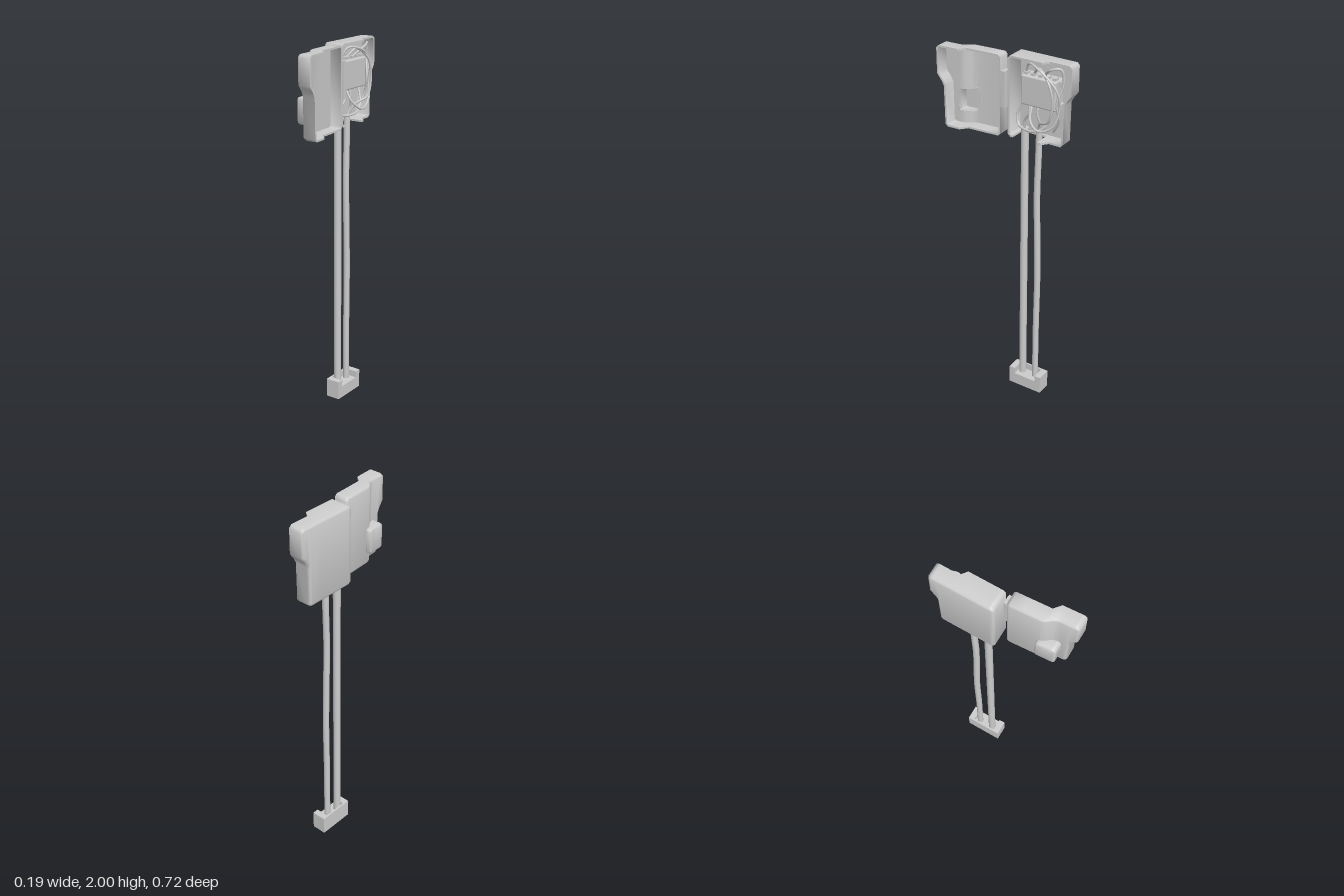
import * as THREE from 'three';
import { toCreasedNormals } from 'three/addons/utils/BufferGeometryUtils.js';
import { RoundedBoxGeometry } from 'three/addons/geometries/RoundedBoxGeometry.js';

const material = new THREE.MeshStandardMaterial({ color: 0xcccccc, side: THREE.DoubleSide });

// piecewise linear function through [z, x] stops sorted by z
const ramp = (stops) => (z) => {
  if (z <= stops[0][0]) return stops[0][1];
  for (let i = 1; i < stops.length; i++) {
    const [z0, x0] = stops[i - 1], [z1, x1] = stops[i];
    if (z <= z1) return x0 + (x1 - x0) * (z - z0) / (z1 - z0);
  }
  return stops[stops.length - 1][1];
};

// move a closed [z, y] outline inwards
function inset(outline, d, s) {
  const n = outline.length;
  const normal = (a, b) => {
    const dz = b[0] - a[0], dy = b[1] - a[1], l = Math.hypot(dz, dy);
    return [s * dy / l, -s * dz / l];
  };
  return outline.map((p, i) => {
    const a = normal(outline[(i + n - 1) % n], p), b = normal(p, outline[(i + 1) % n]);
    const k = d / (1 + a[0] * b[0] + a[1] * b[1]);
    return [p[0] + (a[0] + b[0]) * k, p[1] + (a[1] + b[1]) * k];
  });
}

// hollow tray open to +x, made of columns [z, top y, bottom y]
function tray(cols, back, rim, { t = 0.01, bevel = 0.014, hole = null, slot = null } = {}) {
  const m = cols.length, n = 2 * m, s = Math.sign(cols[1][0] - cols[0][0]);
  const outline = [...cols.map((c) => [c[0], c[1]]), ...[...cols].reverse().map((c) => [c[0], c[2]])];
  const ring = (d, x) => inset(outline, d, s).map(([z, y], i) => [x(outline[i][0], i), y, z]);
  const edge = (z, i) => (slot && i >= m && z < slot.z1 && z > slot.z0 ? slot.x : rim(z));
  const rings = [
    ring(bevel, back),
    ring(bevel * 0.3, (z) => back(z) + bevel * 0.3),
    ring(0, (z) => back(z) + bevel),
    ring(0, edge),
    ring(t, edge),
    ring(t, (z) => back(z) + t),
  ];
  const pos = [];
  const quad = (a, b, c, d, flip) => {
    const q = flip ? [d, c, b, a] : [a, b, c, d];
    for (const i of [0, 1, 2, 0, 2, 3]) pos.push(...q[i]);
  };
  for (let k = 0; k < rings.length - 1; k++)
    for (let i = 0; i < n; i++) {
      const j = (i + 1) % n;
      quad(rings[k][i], rings[k][j], rings[k + 1][j], rings[k + 1][i], s < 0);
    }
  // outer back and inner floor, as strips with an optional window
  for (const [r, flip] of [[rings[0], s < 0], [rings[5], s > 0]])
    for (let c = 0; c < m - 1; c++) {
      const a = r[c], b = r[c + 1], e = r[n - 2 - c], f = r[n - 1 - c];
      const at = (p, y) => [p[0], y, p[2]];
      if (hole && cols[c][0] >= hole.z0 - 1e-6 && cols[c + 1][0] <= hole.z1 + 1e-6) {
        quad(at(a, hole.y1), at(b, hole.y1), b, a, flip);
        quad(f, e, at(b, hole.y0), at(a, hole.y0), flip);
      } else quad(f, e, b, a, flip);
    }
  const g = new THREE.BufferGeometry();
  g.setAttribute('position', new THREE.Float32BufferAttribute(pos, 3));
  return toCreasedNormals(g, 0.8);
}

export function createModel() {
  const group = new THREE.Group();
  const add = (name, geometry, x = 0, y = 0, z = 0) => {
    const mesh = new THREE.Mesh(geometry, material);
    mesh.name = name;
    mesh.position.set(x, y, z);
    group.add(mesh);
    return mesh;
  };
  const TOP = 2, BOT = 1.568;
  // shared silhouette: straight hinge side, free side widening towards the top
  const silhouette = (sign, near, middle) => [
    [near, TOP - 0.014, BOT + 0.014], [near + 0.014, TOP, BOT],
    ...middle.map((z) => [z, TOP, BOT]),
    [0.303, TOP, BOT], [0.317, TOP, BOT + 0.014], [0.32, TOP, 1.79],
    [0.333, TOP, 1.815], [0.344, TOP, 1.83], [0.358, TOP - 0.014, 1.85],
  ].map(([z, a, b]) => [sign * z, a, b]);

  // cabinet body with a cut-out in its lower wall for the pipes
  add('cabinetBody', tray(
    silhouette(-1, 0.015, [0.045, 0.047, 0.188, 0.19, 0.21, 0.235]),
    () => -0.097,
    ramp([[-0.235, -0.015], [-0.21, 0.018]]),
    { slot: { z0: -0.189, z1: -0.046, x: -0.073 } }));

  // opened door with stepped face and lock recess
  const doorBack = ramp([[0.015, -0.037], [0.19, -0.026], [0.207, -0.02], [0.222, -0.008],
    [0.24, 0.005], [0.255, 0.011], [0.27, 0.0125], [0.355, 0.017]]);
  const doorRim = ramp([[0.015, 0.04], [0.205, 0.052], [0.235, 0.088], [0.355, 0.096]]);
  add('door', tray(
    silhouette(1, 0.015, [0.1, 0.19, 0.205, 0.207, 0.222, 0.235, 0.24, 0.255, 0.27]),
    doorBack, doorRim, { hole: { z0: 0.19, z1: 0.27, y0: 1.645, y1: 1.762 } }));
  add('lockHousing', tray(
    [[0.176, 1.763, 1.645], [0.186, 1.773, 1.635], [0.207, 1.773, 1.635], [0.222, 1.773, 1.635],
      [0.24, 1.773, 1.635], [0.255, 1.773, 1.635], [0.272, 1.773, 1.635], [0.282, 1.763, 1.645]],
    (z) => -0.052 + 0.06 * (z - 0.176),
    (z) => doorBack(z) + 0.012, { t: 0.008, bevel: 0.01 }));

  // hinge
  add('hingePlate', new THREE.BoxGeometry(0.03, 0.19, 0.022), 0.01, 1.825, -0.003);
  add('hingePin', new THREE.CylinderGeometry(0.013, 0.013, 0.19, 16), 0.028, 1.825, -0.002);
  add('hingeLeaf', new THREE.BoxGeometry(0.008, 0.19, 0.024), 0.04, 1.825, -0.001);

  // control unit inside the cabinet, with mounting tabs
  add('controlUnit', new RoundedBoxGeometry(0.08, 0.155, 0.2, 2, 0.008), -0.05, 1.825, -0.172);
  for (let i = 0; i < 5; i++)
    add('terminal', new THREE.BoxGeometry(0.03, 0.016, 0.02), -0.04, 1.908, -0.09 - i * 0.041);
  for (const y of [1.765, 1.88])
    for (const z of [-0.068, -0.276])
      add('mountingTab', new THREE.BoxGeometry(0.03, 0.03, 0.02), -0.06, y, z);

  // loose wires, as [x, y, z] paths
  const wires = [
    [[-0.04, 1.91, -0.087], [-0.02, 1.965, -0.115], [0.012, 1.95, -0.2], [0.005, 1.87, -0.285],
      [-0.01, 1.775, -0.298], [0.008, 1.67, -0.265], [0.02, 1.64, -0.19], [0, 1.68, -0.135], [-0.04, 1.75, -0.125]],
    [[-0.04, 1.91, -0.19], [0, 1.965, -0.25], [-0.02, 1.97, -0.295], [-0.03, 1.9, -0.305],
      [-0.01, 1.79, -0.28], [-0.03, 1.7, -0.285], [-0.05, 1.62, -0.24]],
    [[-0.04, 1.75, -0.07], [-0.03, 1.67, -0.04], [-0.02, 1.625, -0.06], [0.005, 1.622, -0.15],
      [-0.01, 1.66, -0.22], [-0.04, 1.75, -0.245]],
    [[-0.04, 1.91, -0.13], [-0.01, 1.955, -0.18], [0.018, 1.9, -0.25], [0.02, 1.8, -0.275],
      [0.015, 1.7, -0.25], [-0.02, 1.66, -0.18], [-0.05, 1.59, -0.157]],
    [[-0.05, 1.59, -0.075], [-0.04, 1.65, -0.08], [-0.03, 1.7, -0.11], [-0.04, 1.76, -0.11]],
    [[-0.05, 1.59, -0.15], [-0.04, 1.65, -0.17], [-0.03, 1.7, -0.16], [-0.04, 1.76, -0.16]],
  ];
  for (const path of wires) {
    const curve = new THREE.CatmullRomCurve3(path.map((p) => new THREE.Vector3(...p)));
    add('wire', new THREE.TubeGeometry(curve, 48, 0.006, 8));
  }

  // straight post and slightly wavy conduit
  add('post', new THREE.CylinderGeometry(0.02, 0.02, 1.54, 24), -0.052, 0.835, -0.074);
  const conduit = new THREE.CatmullRomCurve3([
    [0.065, -0.157], [0.4, -0.157], [0.75, -0.161], [1.0, -0.156], [1.25, -0.151], [1.45, -0.156], [1.6, -0.159],
  ].map(([y, z]) => new THREE.Vector3(-0.052, y, z)));
  add('conduit', new THREE.TubeGeometry(conduit, 40, 0.017, 20));
  add('conduitCap', new THREE.CylinderGeometry(0.017, 0.017, 0.004, 20), -0.052, 1.6, -0.159);

  // foot block: full back wall, recessed front
  const foot = (x0, x1, notch) => {
    const pts = [[0.015, 0], [0.22, 0], [0.22, 0.105]];
    if (notch) pts.push([0.185, 0.105], [0.185, 0.068], [0.05, 0.068], [0.05, 0.105]);
    pts.push([0.015, 0.105]);
    const shape = new THREE.Shape(pts.map((p) => new THREE.Vector2(...p)));
    const g = new THREE.ExtrudeGeometry(shape, { depth: x1 - x0, bevelEnabled: false });
    return g.rotateY(Math.PI / 2).translate(x0, 0, 0);
  };
  add('footFront', foot(-0.075, -0.003, true));
  add('footBack', foot(-0.085, -0.075, false));
  return group;
}
